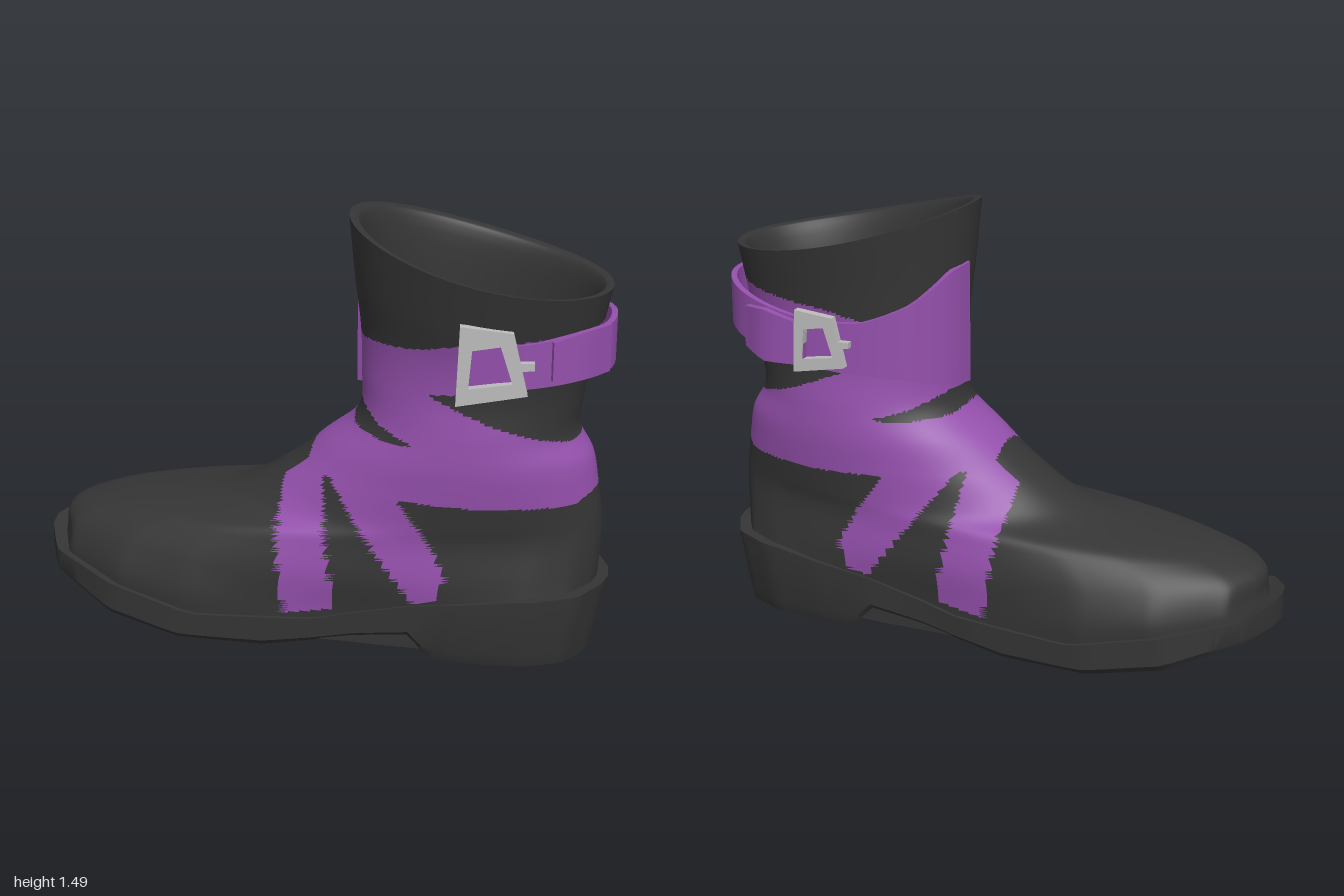
import * as THREE from 'three';
import { toCreasedNormals } from 'three/addons/utils/BufferGeometryUtils.js';

const leather = new THREE.MeshStandardMaterial({ color: 0x353535, side: THREE.DoubleSide });
leather.name = 'dark leather';
const purple = new THREE.MeshStandardMaterial({ color: 0x9450ac, side: THREE.DoubleSide });
purple.name = 'purple leather';
const silver = new THREE.MeshStandardMaterial({ color: 0xbcbcbc });
silver.name = 'silver metal';

// Piecewise linear lookup in a list of [input, output] pairs
function lookup(table, x) {
  if (x <= table[0][0]) return table[0][1];
  for (let i = 1; i < table.length; i++) {
    const [a, va] = table[i - 1], [b, vb] = table[i];
    if (x <= b) return va + (vb - va) * (x - a) / (b - a);
  }
  return table[table.length - 1][1];
}

// Grid surface from point(i, j); columns may wrap; pick(centroid) chooses the material group
function grid(cols, rows, point, wrap, pick) {
  const pos = [], sets = [[], []];
  for (let j = 0; j < rows; j++) for (let i = 0; i < cols; i++) pos.push(...point(i, j));
  const tri = (a, b, c) => {
    const mid = [0, 1, 2].map((k) => (pos[a * 3 + k] + pos[b * 3 + k] + pos[c * 3 + k]) / 3);
    sets[pick && pick(...mid) ? 1 : 0].push(a, b, c);
  };
  for (let j = 0; j < rows - 1; j++) {
    for (let i = 0; i < (wrap ? cols : cols - 1); i++) {
      const n = (i + 1) % cols, a = j * cols + i, b = j * cols + n;
      tri(a, b, b + cols);
      tri(a, b + cols, a + cols);
    }
  }
  const g = new THREE.BufferGeometry();
  g.setAttribute('position', new THREE.Float32BufferAttribute(pos, 3));
  g.setIndex([...sets[0], ...sets[1]]);
  if (pick) {
    g.addGroup(0, sets[0].length, 0);
    g.addGroup(sets[0].length, sets[1].length, 1);
  }
  g.computeVertexNormals();
  return g;
}

// Half width of the footprint from toe (0) to heel (1)
const PLAN = [[0, 0], [0.005, 0.07], [0.04, 0.21], [0.16, 0.335], [0.29, 0.375], [0.45, 0.345],
  [0.6, 0.31], [0.8, 0.29], [0.9, 0.26], [0.965, 0.19], [0.995, 0.07], [1, 0]];

// Ring: front x, front y, back x, back y, half width, roundness (0 footprint, 1 ellipse), sag, z shift
function ringPoint([fx, fy, bx, by, w, k, sag, cz], t) {
  const u = (1 - Math.cos(t)) / 2, s = Math.sin(t), side = s < 0 ? -1 : 1;
  const z = side * lookup(PLAN, u) * 0.96 * (1 - k) + w * s * k;
  return new THREE.Vector3(fx + (bx - fx) * u, fy + (by - fy) * u - sag * s * s, z + cz);
}

function loft(rings, cols, rows, pick) {
  const columns = [];
  for (let i = 0; i < cols; i++) {
    const t = (i / cols) * Math.PI * 2;
    const curve = new THREE.CatmullRomCurve3(rings.map((r) => ringPoint(r, t)));
    columns.push(Array.from({ length: rows }, (_, j) => curve.getPoint(j / (rows - 1)).toArray()));
  }
  return grid(cols, rows, (i, j) => columns[i][j], true, pick);
}

// Side outline of the flat purple straps
const STRAPS = [[-0.11, 0.62], [-0.1, 0.5], [-0.05, 0.13], [0.13, 0.16], [0.08, 0.45], [0.055, 0.6], [0.085, 0.6],
  [0.39, 0.21], [0.46, 0.22], [0.5, 0.31], [0.43, 0.44], [0.33, 0.575], [0.6, 0.565], [0.9, 0.565],
  [1.05, 0.65], [1.05, 0.77], [0.87, 0.77], [0.65, 0.85], [0.42, 0.945], [0.55, 0.96], [1.1, 1.04],
  [1.1, 1.19], [0.55, 1.14], [0.4, 1.1], [0, 1.06], [0, 0.86], [0.15, 0.85], [0.25, 0.8],
  [0.38, 0.765], [0.3, 0.755], [0.14, 0.77], [0.08, 0.82], [-0.14, 0.72]];

function onStrap(x, y, z) {
  if (Math.abs(z) < 0.12 && x < -0.02) return false;
  let inside = false;
  STRAPS.forEach(([ax, ay], i) => {
    const [bx, by] = STRAPS[(i + 1) % STRAPS.length];
    if (ay > y !== by > y && x < ax + (bx - ax) * (y - ay) / (by - ay)) inside = !inside;
  });
  return inside;
}

// Raised strap along path points [x, y, z, half height]
function ribbon(path, thick, steps) {
  const curve = new THREE.CatmullRomCurve3(path.map((p) => new THREE.Vector3(p[0], p[1], p[2])));
  const heights = path.map((p, i) => [i / (path.length - 1), p[3]]);
  const corners = [[1, -1], [1, 1], [0, 1], [0, -1]];
  const point = (i, j) => {
    const v = Math.min(Math.max((i - 1) / steps, 0), 1);
    const c = curve.getPoint(v), t = curve.getTangent(v).setY(0).normalize();
    const end = i === 0 || i === steps + 2;
    const [o, s] = end ? [0.5, 0] : corners[j % 4];
    return [c.x - t.z * thick * o, c.y + s * lookup(heights, v), c.z + t.x * thick * o];
  };
  return toCreasedNormals(grid(steps + 3, 5, point, false), 0.7);
}

// Flat bar or frame cut from an outline
function plate(outline, hole, depth) {
  const shape = new THREE.Shape(outline.map((p) => new THREE.Vector2(...p)));
  if (hole) shape.holes.push(new THREE.Path(hole.map((p) => new THREE.Vector2(...p))));
  return new THREE.ExtrudeGeometry(shape, { depth, bevelEnabled: false });
}

export function createModel() {
  const boot = new THREE.Group();
  boot.name = 'boot';
  const add = (name, geometry, material, parent = boot) => {
    const mesh = new THREE.Mesh(geometry, material);
    mesh.name = name;
    parent.add(mesh);
    return mesh;
  };

  // Upper: foot and shaft with straps coloured on it
  const rim = [0.1, 1.485, 0.975, 1.29, 0.315, 1, 0.03, 0.018];
  add('upper', loft([
    [-0.96, 0.17, 0.95, 0.08, 0.35, 0, 0.08, 0],
    [-0.945, 0.24, 0.955, 0.18, 0.35, 0, 0.06, 0],
    [-0.935, 0.31, 0.965, 0.3, 0.33, 0.5, 0.03, 0],
    [-0.82, 0.365, 0.97, 0.42, 0.3, 0.8, 0, 0],
    [-0.33, 0.455, 0.965, 0.5, 0.285, 1, 0, 0],
    [-0.12, 0.58, 0.95, 0.6, 0.285, 1, 0, 0],
    [0, 0.68, 0.93, 0.7, 0.285, 1, 0, 0],
    [0.13, 0.8, 0.88, 0.79, 0.275, 1, 0, 0],
    [0.14, 0.95, 0.89, 0.9, 0.258, 1, 0, 0],
    [0.135, 1.1, 0.91, 1.0, 0.265, 1, 0, 0],
    [0.12, 1.25, 0.94, 1.13, 0.285, 1, 0.01, 0.01],
    rim,
  ], 160, 166, onStrap), [leather, purple]);

  // Lining: folds over the rim and closes at the bottom
  add('lining', loft([
    rim,
    [0.135, 1.47, 0.945, 1.285, 0.285, 1, 0.03, 0.018],
    [0.165, 1.1, 0.87, 1.0, 0.235, 1, 0, 0],
    [0.2, 0.86, 0.82, 0.83, 0.21, 1, 0, 0],
    [0.5, 0.83, 0.5, 0.83, 0, 1, 0, 0],
  ], 64, 30), leather);

  // Sole with heel block
  const bottom = [[-1, 0.15], [-0.68, 0.04], [-0.42, 0], [-0.12, 0], [0.2, 0.06], [0.38, 0.08], [0.44, 0], [1, 0]];
  const top = [[-1, 0.24], [-0.9, 0.2], [-0.35, 0.1], [0.05, 0.12], [0.38, 0.2], [0.75, 0.25], [1, 0.26]];
  const layers = [[0, 0], [0.5, 0], [0.94, 0], [1, 0.2], [1, 1], [0, 1]];
  add('sole', toCreasedNormals(grid(120, layers.length, (i, j) => {
    const [spread, lift] = layers[j], t = (i / 120) * Math.PI * 2, u = (1 - Math.cos(t)) / 2;
    const x = -1 + (1.95 + 0.05 * lift) * u, low = lookup(bottom, x);
    const z = (i > 60 ? -1 : 1) * lookup(PLAN, u) * spread;
    return [x, low + (lookup(top, x) - low) * lift, i % 60 ? z : 0];
  }, true), 0.6), leather);

  // Ankle strap round the back, widening into the front flap
  add('ankleStrap', ribbon([
    [0.55, 1.06, 0.275, 0.08], [0.75, 1.08, 0.245, 0.075], [0.88, 1.1, 0.18, 0.08],
    [0.96, 1.105, 0.07, 0.08], [0.955, 1.105, -0.08, 0.08], [0.88, 1.09, -0.2, 0.08],
    [0.76, 1.06, -0.265, 0.08], [0.58, 1.03, -0.295, 0.08], [0.4, 1.02, -0.275, 0.09],
    [0.25, 1.04, -0.215, 0.13], [0.155, 1.07, -0.11, 0.2], [0.13, 1.075, -0.02, 0.21],
  ], 0.02, 48), purple);

  // Loose strap ends beyond each buckle
  add('leftStrapEnd', ribbon([[0.82, 1.1, 0.235, 0.065], [0.9, 1.11, 0.185, 0.08], [0.97, 1.11, 0.08, 0.08]], 0.02, 8), purple);
  add('rightStrapEnd', ribbon([[0.81, 1.06, -0.275, 0.07], [0.72, 1.05, -0.325, 0.09], [0.58, 1.03, -0.325, 0.07]], 0.025, 8), purple);

  // Buckles: tapered frame with a prong
  const frame = [[-0.11, 0.14], [-0.12, -0.13], [0.11, -0.09], [0.06, 0.12]];
  const hole = [[-0.07, 0.06], [-0.08, -0.07], [0.06, -0.05], [0.02, 0.075]];
  const prong = [[0.05, -0.01], [0.13, -0.005], [0.13, 0.02], [0.05, 0.02]];
  for (const [name, x, y, z, turn, size] of [
    ['frontBuckle', 0.645, 1.08, 0.285, 0.22, 1],
    ['backBuckle', 0.52, 1.04, -0.325, Math.PI, 0.8],
  ]) {
    const buckle = new THREE.Group();
    buckle.name = name;
    add('buckleFrame', plate(frame, hole, 0.03), silver, buckle);
    add('buckleProng', plate(prong, null, 0.025), silver, buckle);
    buckle.position.set(x, y, z);
    buckle.rotation.y = turn;
    buckle.scale.set(size, size, 1);
    boot.add(buckle);
  }
  return boot;
}
